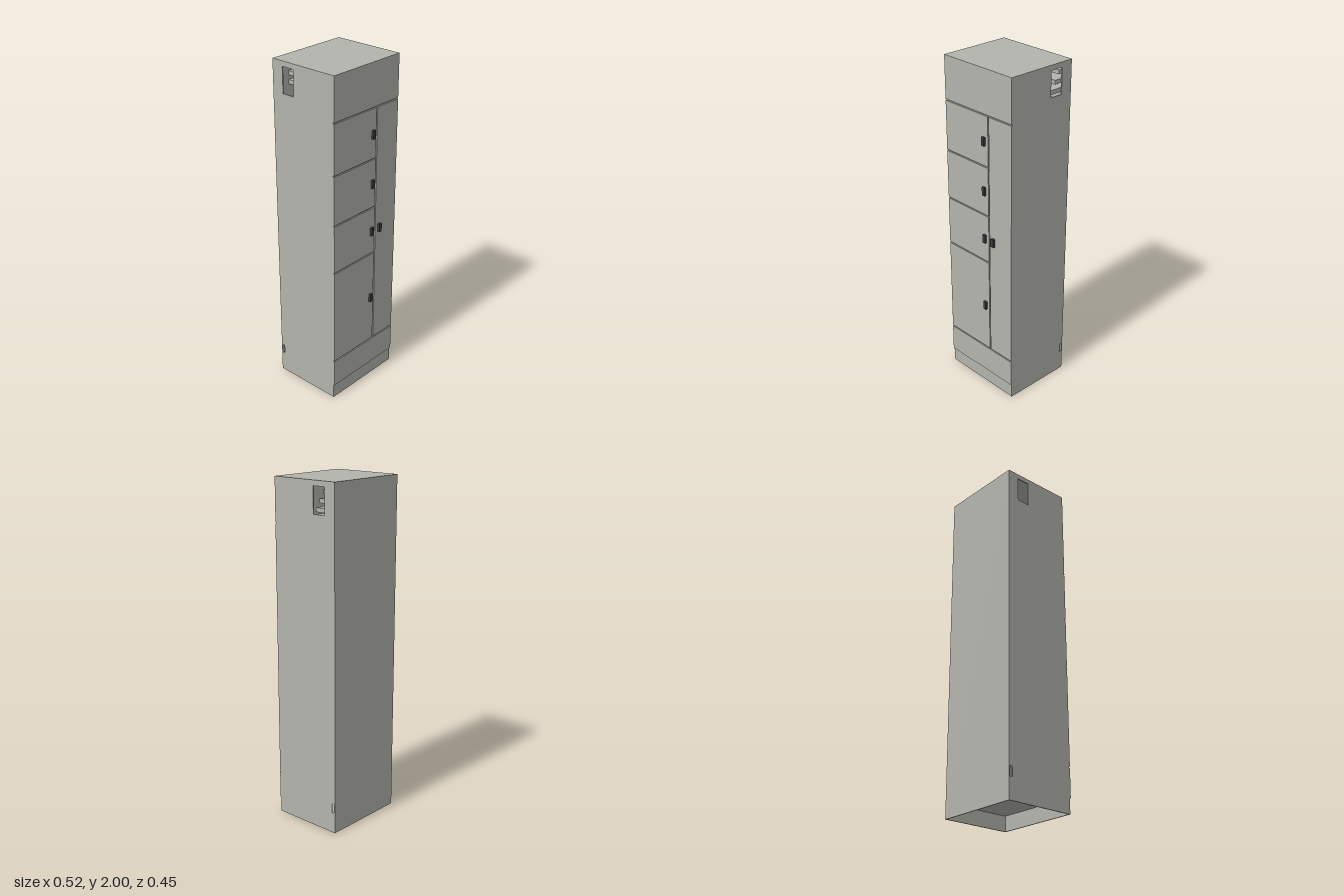
import * as THREE from 'three';

const W = 0.26, BACK = -0.227, FACE = 0.204, FRONT = 0.211, T = 0.006;

export function createModel() {
  const cabinet = new THREE.Group();
  cabinet.name = 'lockerCabinet';
  const grey = new THREE.MeshStandardMaterial({ color: 0xb4b4ae });
  grey.name = 'warm grey metal';
  const dark = new THREE.MeshStandardMaterial({ color: 0x3c3c3c });
  dark.name = 'dark handle';

  // box given by its min and max on each axis
  const box = (name, [x0, x1], [y0, y1], [z0, z1], mat = grey) => {
    const mesh = new THREE.Mesh(new THREE.BoxGeometry(x1 - x0, y1 - y0, z1 - z0), mat);
    mesh.position.set((x0 + x1) / 2, (y0 + y1) / 2, (z0 + z1) / 2);
    mesh.name = name;
    cabinet.add(mesh);
  };
  const rect = (Type, z0, z1, y0, y1) => new Type([
    [z0, y0], [z1, y0], [z1, y1], [z0, y1],
  ].map(([z, y]) => new THREE.Vector2(z, y)));

  // side panels with a vent opening and a small cable slot
  const side = rect(THREE.Shape, BACK, FACE, 0, 2);
  side.holes.push(
    rect(THREE.Path, -0.155, -0.075, 1.82, 1.97),
    rect(THREE.Path, -0.22, -0.204, 0.125, 0.18),
  );
  const sideGeo = new THREE.ExtrudeGeometry(side, { depth: T, bevelEnabled: false });
  sideGeo.rotateY(-Math.PI / 2);
  for (const [name, x] of [['leftSide', W], ['rightSide', -W + T]]) {
    const mesh = new THREE.Mesh(sideGeo, grey);
    mesh.position.x = x;
    mesh.name = name;
    cabinet.add(mesh);
  }

  // shell
  const inner = [-W + T, W - T];
  box('backPanel', inner, [0, 2], [BACK, BACK + T]);
  box('topPanel', inner, [2 - T, 2], [BACK + T, FACE]);
  box('floorPanel', inner, [0.09, 0.1], [BACK + T, FACE - T]);
  box('plinth', inner, [0, 0.26], [FACE - T, FACE]);

  // inner shelves and upright behind the door gaps
  const split = 0.083, g = 0.004;
  const levels = [0.26, 0.855, 1.15, 1.447, 1.745];
  levels.forEach((y, i) => {
    const whole = i === 0 || i === levels.length - 1;
    box('shelf', [inner[0], whole ? inner[1] : split], [y - 0.01, y + 0.01], [BACK + T, FACE - 0.002]);
  });
  box('divider', [split - 0.01, split + 0.01], [0.27, 1.735], [BACK + T, FACE - 0.003]);

  // front panels and doors
  const face = [FACE, FRONT];
  box('upperFascia', [-W, W], [1.745 + g, 2], face);
  box('lowerFascia', [-W, W], [0.09, 0.26 - g], face);
  for (let i = 0; i < 4; i++) {
    box('door', [-W, split - g], [levels[i] + g, levels[i + 1] - g], face);
  }
  box('tallDoor', [split + g, W], [0.26 + g, 1.745 - g], face);

  // handles
  for (const [x, y] of [[0.051, 1.595], [0.051, 1.3], [0.051, 1.003], [0.051, 0.56], [0.119, 1.003]]) {
    box('handle', [x - 0.01, x + 0.01], [y - 0.025, y + 0.025], [FRONT, 0.225], dark);
  }

  // stepped rails and posts inside the vent compartment
  [[1.832, -0.085], [1.882, -0.112], [1.932, -0.14]].forEach(([y, z]) => {
    box('ventRail', [-0.15, 0.25], [y, y + 0.024], [BACK + T, z]);
    box('ventPost', [-0.15, -0.13], [1.755, y], [z - 0.03, z - 0.012]);
  });
  return cabinet;
}
